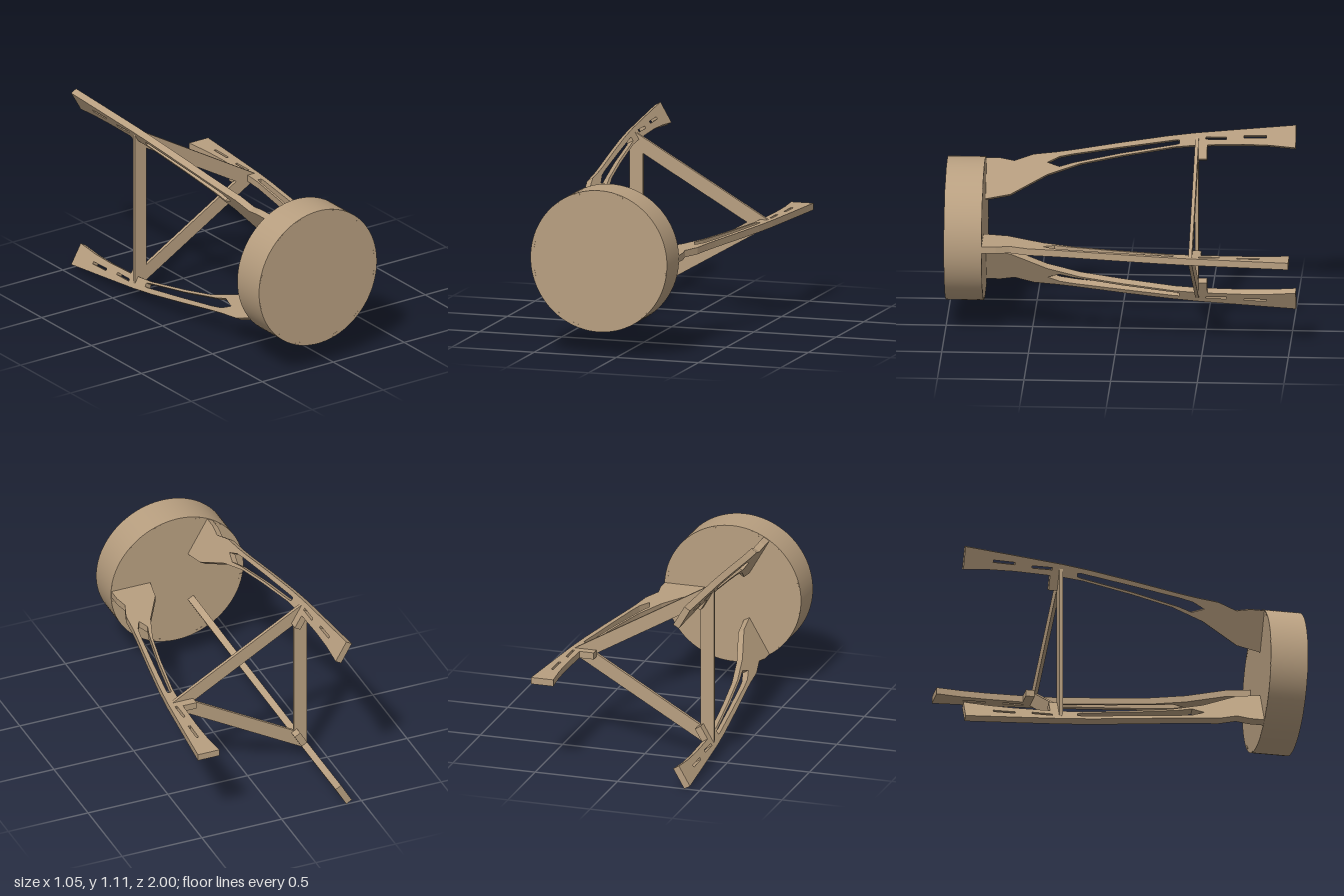
import * as THREE from 'three';

const wood = new THREE.MeshStandardMaterial({ color: 0xb89f80 });
wood.name = 'plywood';
const AXIS_X = -0.107, AXIS_Y = 0.558;
const v = (pts) => pts.map(([x, y]) => new THREE.Vector2(x, y));

function part(name, geometry, parent) {
  const mesh = new THREE.Mesh(geometry, wood);
  mesh.name = name;
  parent.add(mesh);
  return mesh;
}

// Flat leg profile: x is the distance from the axis, y runs along z
function legGeometry() {
  const outer = [[0.412, 0.79], [0.412, 0.70], [0.397, 0.62], [0.437, 0.51], [0.452, 0.38], [0.467, 0.28],
    [0.515, 0], [0.555, -0.25], [0.577, -0.42], [0.604, -0.7], [0.632, -1]];
  const inner = [[0.497, -1], [0.510, -0.85], [0.513, -0.7], [0.507, -0.49], [0.422, -0.49], [0.422, -0.44],
    [0.505, -0.44], [0.492, -0.3], [0.437, 0], [0.385, 0.24], [0.367, 0.29], [0.317, 0.43], [0.197, 0.64], [0.167, 0.79]];
  const shape = new THREE.Shape(v([...outer, ...inner]));

  // Long lightening slot and two small slots
  const holes = [
    [[0.390, 0.43], [0.366, 0.36], [0.391, 0.28], [0.452, 0], [0.507, -0.31], [0.513, -0.33],
      [0.534, -0.33], [0.534, -0.31], [0.487, 0], [0.442, 0.28], [0.425, 0.36]],
    [[0.540, -0.48], [0.540, -0.60], [0.554, -0.60], [0.554, -0.48]],
    [[0.551, -0.70], [0.554, -0.83], [0.568, -0.83], [0.565, -0.70]],
  ];
  holes.forEach((h) => shape.holes.push(new THREE.Path(v(h))));
  const geometry = new THREE.ExtrudeGeometry(shape, { depth: 0.04, bevelEnabled: false });
  return geometry.translate(0, 0, -0.02).rotateX(Math.PI / 2);
}

// Triangular frame with clipped corners
function braceGeometry() {
  const outline = [], opening = [];
  const side = 0.293, cut = 0.551, half = (2 * side - cut) / Math.sqrt(3);
  for (let i = 0; i < 3; i++) {
    const a = (i * Math.PI * 2) / 3, c = Math.cos(a), s = Math.sin(a);
    for (const t of [-half, half]) outline.push([cut * c - t * s, cut * s + t * c]);
    opening.push([0.422 * c, 0.422 * s]);
  }
  const shape = new THREE.Shape(v(outline));
  shape.holes.push(new THREE.Path(v(opening)));
  return new THREE.ExtrudeGeometry(shape, { depth: 0.02, bevelEnabled: false }).translate(0, 0, -0.44);
}

export function createModel() {
  const model = new THREE.Group();
  model.name = 'tripodStand';
  const body = new THREE.Group();
  body.name = 'frame';
  body.position.set(AXIS_X, AXIS_Y, 0);
  model.add(body);

  // Round drum at the front
  part('drum', new THREE.CylinderGeometry(0.415, 0.415, 0.218, 96).rotateX(Math.PI / 2).translate(0, 0, 0.89), body);

  // Joint tabs almost flush with both drum faces
  const tab = new THREE.BoxGeometry(0.015, 0.046, 0.22);
  for (let i = 0; i < 3; i++) {
    for (const deg of [-10, 10, 48, 72]) {
      const a = THREE.MathUtils.degToRad(deg + i * 120);
      const mesh = part('jointTab', tab, body);
      mesh.position.set(0.404 * Math.cos(a), 0.404 * Math.sin(a), 0.89);
      mesh.rotation.z = a;
    }
  }

  // Three legs around the axis
  const leg = legGeometry();
  for (let i = 0; i < 3; i++) {
    part(['leftLeg', 'upperRightLeg', 'lowerRightLeg'][i], leg, body).rotation.z = (i * Math.PI * 2) / 3;
  }

  part('triangleBrace', braceGeometry(), body);
  return model;
}
